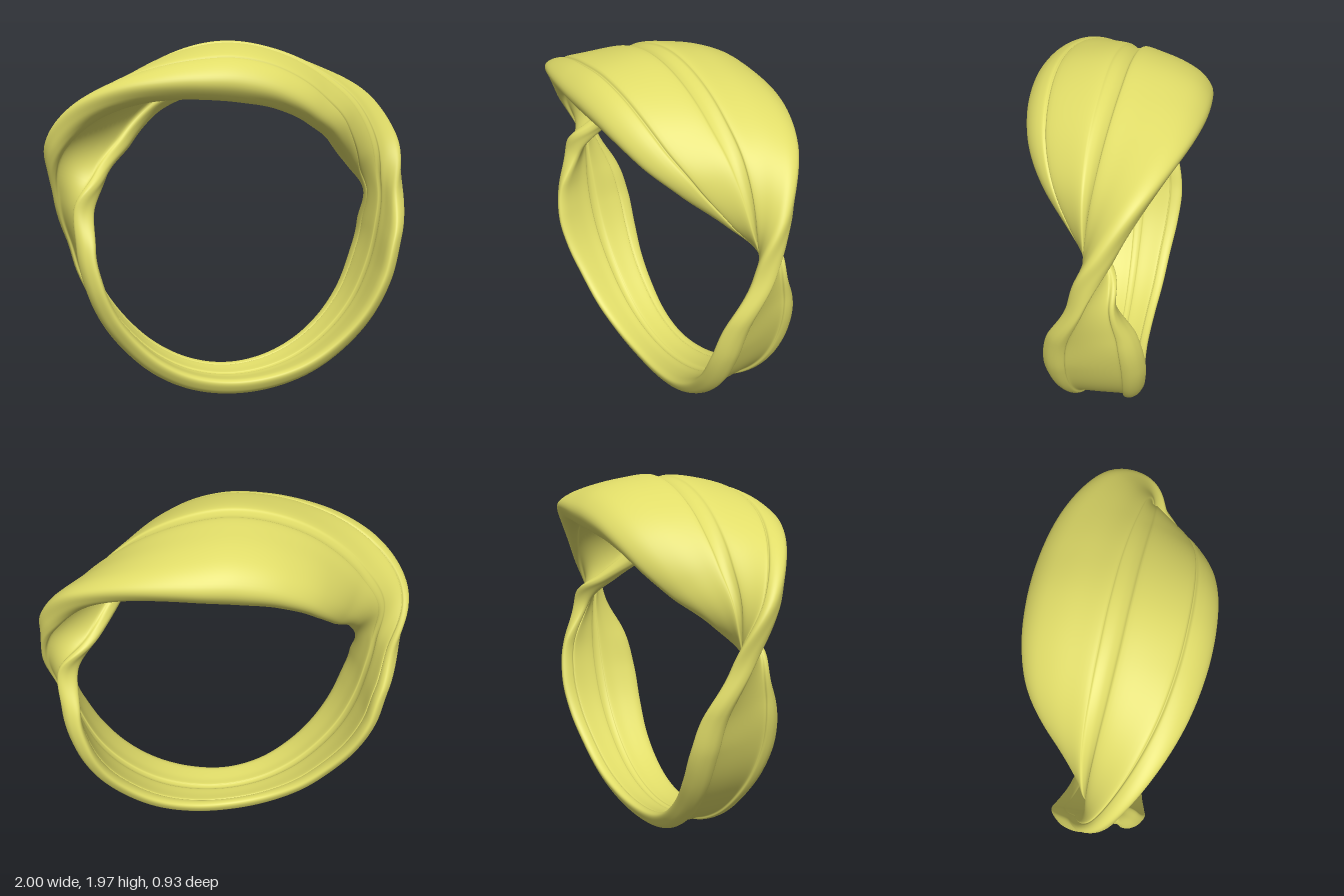
import * as THREE from 'three';

// Band every 15 degrees, clockwise from the top:
// [radius of the centre line, half width, half thickness, twist in degrees]
const KEYS = [
  [0.885, 0.465, 0.128, 0], [0.892, 0.45, 0.115, 5], [0.92, 0.4, 0.095, 15],
  [0.962, 0.305, 0.08, 33], [0.962, 0.185, 0.07, 70], [0.93, 0.12, 0.06, 143],
  [0.878, 0.225, 0.05, 170], [0.856, 0.262, 0.05, 175], [0.85, 0.25, 0.05, 177],
  [0.845, 0.222, 0.05, 178], [0.842, 0.2, 0.05, 179], [0.833, 0.178, 0.05, 180],
  [0.822, 0.165, 0.05, 180], [0.806, 0.175, 0.05, 180], [0.785, 0.2, 0.05, 181],
  [0.765, 0.222, 0.05, 182], [0.759, 0.25, 0.05, 183], [0.763, 0.262, 0.05, 185],
  [0.785, 0.225, 0.05, 190], [0.85, 0.14, 0.06, 218], [0.938, 0.2, 0.07, 290],
  [0.928, 0.31, 0.08, 325], [0.905, 0.4, 0.095, 345], [0.888, 0.45, 0.115, 355],
];

// Cross-section: ridged outer face first, then the hollow inner face with rolled rims
const SECTION = [
  [1, -0.1], [0.96, 0.25], [0.82, 0.55], [0.6, 0.68], [0.35, 0.72], [0.13, 0.75],
  [0.09, 0.62], [0, 0.55], [-0.08, 0.6], [-0.13, 0.7], [-0.4, 0.68], [-0.68, 0.6],
  [-0.71, 0.47], [-0.75, 0.56], [-0.85, 0.5], [-0.96, 0.25], [-1, -0.1],
  [-0.95, -0.6], [-0.84, -1.05], [-0.7, -1.2], [-0.56, -1], [-0.52, -0.65],
  [-0.3, -0.5], [0, -0.45], [0.3, -0.5], [0.52, -0.65], [0.56, -1],
  [0.7, -1.2], [0.84, -1.05], [0.95, -0.6],
];

// Smooth periodic interpolation of one column; the twist gains a full turn per lap
function keyAt(t, column) {
  const n = KEYS.length;
  const i = Math.floor(t), f = t - i;
  const value = (k) => KEYS[((k % n) + n) % n][column]
    + (column === 3 ? 360 * Math.floor(k / n) : 0);
  const [p0, p1, p2, p3] = [value(i - 1), value(i), value(i + 1), value(i + 2)];
  const m1 = (p2 - p0) / 2, m2 = (p3 - p1) / 2;
  return p1 + f * (m1 + f * (3 * (p2 - p1) - 2 * m1 - m2 + f * (2 * (p1 - p2) + m1 + m2)));
}

function twistedBand(rings, sides) {
  const outline = new THREE.CatmullRomCurve3(
    SECTION.map(([x, y]) => new THREE.Vector3(x, y, 0)), true);
  const profile = Array.from({ length: sides }, (_, j) => outline.getPoint(j / sides));
  const positions = [], indices = [];
  for (let i = 0; i < rings; i++) {
    const t = (i / rings) * KEYS.length;
    const [radius, width, thick, twist] = [0, 1, 2, 3].map((c) => keyAt(t, c));
    const theta = (i / rings) * Math.PI * 2;
    const phi = THREE.MathUtils.degToRad(twist);
    // both the wide crown and the narrow shank bulge away from the finger
    const crown = (1 + Math.cos(phi)) / 2;
    const dome = 0.9 * width ** 3 * crown - 0.035 * (1 - crown);
    for (const p of profile) {
      const u = width * p.x;
      const v = thick * p.y + dome * (1 - p.x * p.x);
      const r = radius + u * Math.sin(phi) + v * Math.cos(phi);
      const z = -u * Math.cos(phi) + v * Math.sin(phi);
      positions.push(r * Math.sin(theta), 0.9 + r * Math.cos(theta), z);
    }
    const next = (i + 1) % rings;
    for (let j = 0; j < sides; j++) {
      const k = (j + 1) % sides;
      const a = i * sides + j, b = i * sides + k;
      const c = next * sides + j, d = next * sides + k;
      indices.push(a, b, c, b, d, c);
    }
  }
  const geometry = new THREE.BufferGeometry();
  geometry.setAttribute('position', new THREE.Float32BufferAttribute(positions, 3));
  geometry.setIndex(indices);
  geometry.computeVertexNormals();
  return geometry;
}

export function createModel() {
  const group = new THREE.Group();
  group.name = 'twistedRing';
  const band = new THREE.Mesh(
    twistedBand(240, 120),
    new THREE.MeshStandardMaterial({ color: 0xe0dc68 }));
  band.name = 'twistedBand';
  group.add(band);
  return group;
}
